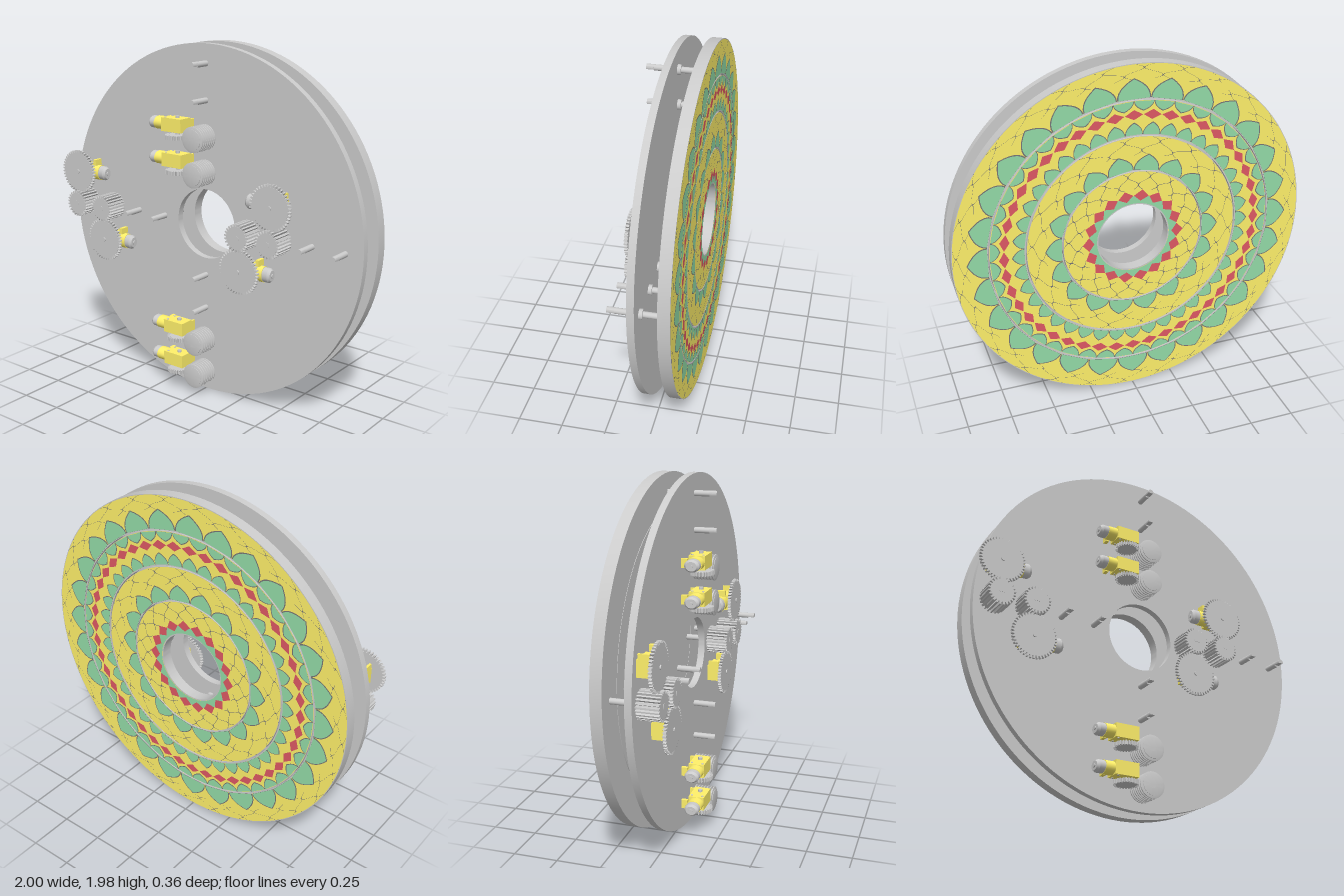
import * as THREE from 'three';
import { mergeGeometries, toCreasedNormals } from 'three/addons/utils/BufferGeometryUtils.js';

const mat = (color, side = THREE.FrontSide) => new THREE.MeshStandardMaterial({ color, side });
const GREY = mat(0xcccccc), YELLOW = mat(0xfff06a);
const CY = 0.995; // height of the disc centre

function add(parent, name, geo, material = GREY, x = 0, y = 0, z = 0) {
  const m = new THREE.Mesh(geo, material);
  m.name = name;
  m.position.set(x, y, z);
  parent.add(m);
  return m;
}

const extrude = (shape, depth, curveSegments = 24) =>
  toCreasedNormals(new THREE.ExtrudeGeometry(shape, { depth, bevelEnabled: false, curveSegments }), 0.5);

// cylinder along z from z0 to z1
const rod = (r, z0, z1, sides = 24) =>
  new THREE.CylinderGeometry(r, r, z1 - z0, sides).rotateX(Math.PI / 2).translate(0, 0, (z0 + z1) / 2);

function ringShape(r0, r1) {
  const s = new THREE.Shape().absarc(0, 0, r1, 0, Math.PI * 2);
  s.holes.push(new THREE.Path().absarc(0, 0, r0, 0, Math.PI * 2, true));
  return s;
}

// spur gear, face width along z, centred on z = 0
function gear(r, teeth, width) {
  const pts = [], step = Math.PI * 2 / teeth, root = r - 0.014;
  for (let i = 0; i < teeth; i++) {
    for (const [f, rad] of [[0, root], [0.3, root], [0.45, r], [0.85, r]]) {
      const a = (i + f) * step;
      pts.push(new THREE.Vector2(Math.cos(a) * rad, Math.sin(a) * rad));
    }
  }
  return extrude(new THREE.Shape(pts), width).translate(0, 0, -width / 2);
}

// ribbed worm roller along z
function worm(r, z0, z1, ribs) {
  const pts = [new THREE.Vector2(0, z0), new THREE.Vector2(r - 0.014, z0)];
  const p = (z1 - z0) / ribs;
  for (let i = 0; i < ribs; i++) {
    for (const [f, rad] of [[0.15, r - 0.014], [0.35, r], [0.65, r], [0.85, r - 0.014]])
      pts.push(new THREE.Vector2(rad, z0 + (i + f) * p));
  }
  pts.push(new THREE.Vector2(r - 0.014, z1), new THREE.Vector2(0, z1));
  return toCreasedNormals(new THREE.LatheGeometry(pts, 40).rotateX(Math.PI / 2), 0.5);
}

// gear motor: output axle along +z at the origin, motor can towards +x
function gearMotor(tabSide) {
  const g = new THREE.Group();
  g.name = 'gearMotor';
  add(g, 'gearbox', new THREE.BoxGeometry(0.135, 0.088, 0.075), YELLOW, 0.0125);
  const barrel = (r, len) => new THREE.CylinderGeometry(r, r, len, 28).rotateZ(Math.PI / 2).scale(1, 1, 0.82);
  add(g, 'motorSleeve', barrel(0.044, 0.055), YELLOW, 0.107);
  add(g, 'motorCan', barrel(0.041, 0.034), GREY, 0.15);
  add(g, 'motorCap', new THREE.CylinderGeometry(0.03, 0.041, 0.014, 28).rotateZ(-Math.PI / 2).scale(1, 1, 0.82), GREY, 0.174);
  add(g, 'motorBoss', barrel(0.012, 0.008), GREY, 0.183);
  add(g, 'strapTab', new THREE.BoxGeometry(0.02, 0.035, 0.05), YELLOW, 0.1, tabSide * 0.06);
  add(g, 'mountTab', new THREE.BoxGeometry(0.012, 0.03, 0.06), YELLOW, -0.049, tabSide * 0.058);
  add(g, 'outputAxle', rod(0.012, -0.05, 0.07), GREY);
  for (const y of [-0.03, 0.03]) add(g, 'screw', rod(0.006, -0.041, 0.041, 12), GREY, 0.06, y);
  return g;
}

const polar = (r, a) => new THREE.Vector2(r * Math.cos(a), r * Math.sin(a));

// pointed leaf standing on radius r0 with its tip at r1
function petal(r0, r1, a, half) {
  const s = new THREE.Shape(), m = r0 + (r1 - r0) * 0.6;
  const c0 = polar(m, a - half), c1 = polar(m, a + half), tip = polar(r1, a);
  const p0 = polar(r0, a - half), p1 = polar(r0, a + half);
  s.moveTo(p0.x, p0.y);
  s.quadraticCurveTo(c0.x, c0.y, tip.x, tip.y);
  s.quadraticCurveTo(c1.x, c1.y, p1.x, p1.y);
  return s;
}

const diamond = (r0, r1, a, half) => new THREE.Shape(
  [polar(r0, a), polar((r0 + r1) / 2, a + half), polar(r1, a), polar((r0 + r1) / 2, a - half)]);

// thin S-shaped line from r0 to r1
function swirl(r0, r1, a, sway) {
  const left = [], right = [], n = 12;
  for (let i = 0; i <= n; i++) {
    const t = i / n, r = r0 + (r1 - r0) * t, mid = a + sway * Math.sin(t * Math.PI * 2);
    right.push(polar(r, mid - 0.0022 / r));
    left.unshift(polar(r, mid + 0.0022 / r));
  }
  return new THREE.Shape([...right, ...left]);
}

// decorated rear face, built facing +z
function rearPattern() {
  const g = new THREE.Group();
  g.name = 'rearPattern';
  const layers = { yellow: [], line: [], green: [], red: [] };
  const around = (n, fn) => { for (let i = 0; i < n; i++) fn(i * Math.PI * 2 / n, Math.PI / n); };
  const petals = (n, r0, r1, shift = 0) => around(n, (a, h) => {
    const out = Math.sign(r1 - r0) * 0.006;
    layers.line.push(petal(r0, r1 + out, a + shift * h, h));
    layers.green.push(petal(r0, r1, a + shift * h, h * 0.93));
  });
  const diamonds = (n, r0, r1) => around(n, (a, h) => layers.red.push(diamond(r0, r1, a, h * 0.96)));
  const swirls = (n, r0, r1) => around(n, (a, h) => {
    layers.line.push(swirl(r0, r1, a, h * 0.5), swirl(r0, r1, a + h, -h * 0.5));
  });
  for (let i = 0; i < 4; i++) layers.yellow.push(ringShape(0.207 + i * 0.2, i < 3 ? 0.393 + i * 0.2 : 0.988));
  // inner ring
  layers.green.push(ringShape(0.207, 0.252));
  diamonds(18, 0.222, 0.288);
  swirls(18, 0.29, 0.393);
  // second ring
  petals(18, 0.408, 0.49);
  swirls(18, 0.49, 0.593);
  // third ring
  petals(40, 0.608, 0.67);
  diamonds(44, 0.69, 0.745);
  petals(44, 0.792, 0.742, 1);
  // outer ring
  petals(28, 0.808, 0.91);
  swirls(28, 0.908, 0.988);

  const colors = { yellow: 0xfff06a, line: 0x777777, green: 0x93dba7, red: 0xde5964 };
  Object.keys(layers).forEach((k, i) => {
    const geos = layers[k].map(s => new THREE.ShapeGeometry(s, k === 'yellow' ? 64 : (s.holes.length ? 48 : 6)));
    add(g, k + 'Inlay', mergeGeometries(geos), mat(colors[k]), 0, 0, i * 0.0008);
  });
  return g;
}

export function createModel() {
  const model = new THREE.Group();
  model.name = 'rotatingDisc';

  // fixed front plate
  add(model, 'frontPlate', extrude(ringShape(0.198, 0.992), 0.038, 64), GREY, 0, CY, -0.003);

  // four concentric rotating rings
  for (let i = 0; i < 4; i++) {
    const r0 = 0.2 + i * 0.2, r1 = i < 3 ? r0 + 0.195 : 0.992;
    add(model, 'rotatingRing', extrude(ringShape(r0, r1), 0.063, 64), GREY, 0, CY, -0.178);
  }
  const pattern = rearPattern();
  pattern.rotation.y = Math.PI;
  pattern.position.set(0, CY, -0.1785);
  model.add(pattern);

  // shafts on all four arms, with collars and flatted tips
  const flat = new THREE.Shape().absarc(0, 0, 0.016, -0.5, Math.PI + 0.5);
  const shaftGeo = mergeGeometries([rod(0.016, -0.116, 0.12).toNonIndexed(), extrude(flat, 0.04).translate(0, 0, 0.12)]);
  const collarGeo = rod(0.027, -0.022, 0);
  for (const d of [0.297, 0.492, 0.69, 0.887]) {
    for (const [x, y] of [[d, 0], [-d, 0], [0, d], [0, -d]]) {
      add(model, 'shaft', shaftGeo, GREY, x, CY + y);
      add(model, 'shaftCollar', collarGeo, GREY, x, CY + y);
    }
  }

  // side drives: long pinion, large gear and motor; dir is the way the motor can points
  const pinionGeo = gear(0.077, 24, 0.12), bigGeo = gear(0.127, 42, 0.018);
  for (const [x, up, dir] of [[-0.883, 1, 1], [-0.685, -1, 1], [0.295, -1, 1], [0.492, 1, -1]]) {
    const y = CY + up * 0.193;
    add(model, 'pinion', pinionGeo, GREY, x, CY, 0.098);
    add(model, 'largeGear', bigGeo, GREY, x, y, 0.131);
    const motor = gearMotor(dir);
    motor.position.set(x, y, 0.077);
    if (dir < 0) motor.rotation.z = Math.PI;
    model.add(motor);
  }

  // vertical drives: worm roller, crossed gear and motor
  const wormGeo = worm(0.071, 0.038, 0.16, 7), crossGeo = gear(0.066, 26, 0.022).rotateX(Math.PI / 2);
  const basis = new THREE.Matrix4().makeBasis(
    new THREE.Vector3(-1, 0, 0), new THREE.Vector3(0, 0, -1), new THREE.Vector3(0, -1, 0));
  for (const d of [0.492, 0.297, -0.68, -0.877]) {
    add(model, 'wormRoller', wormGeo, GREY, 0, CY + d);
    add(model, 'crossedGear', crossGeo, GREY, -0.135, CY + d - 0.002, 0.117);
    const motor = gearMotor(1);
    motor.quaternion.setFromRotationMatrix(basis);
    motor.position.set(-0.135, CY + d + 0.063, 0.112);
    model.add(motor);
  }
  return model;
}
